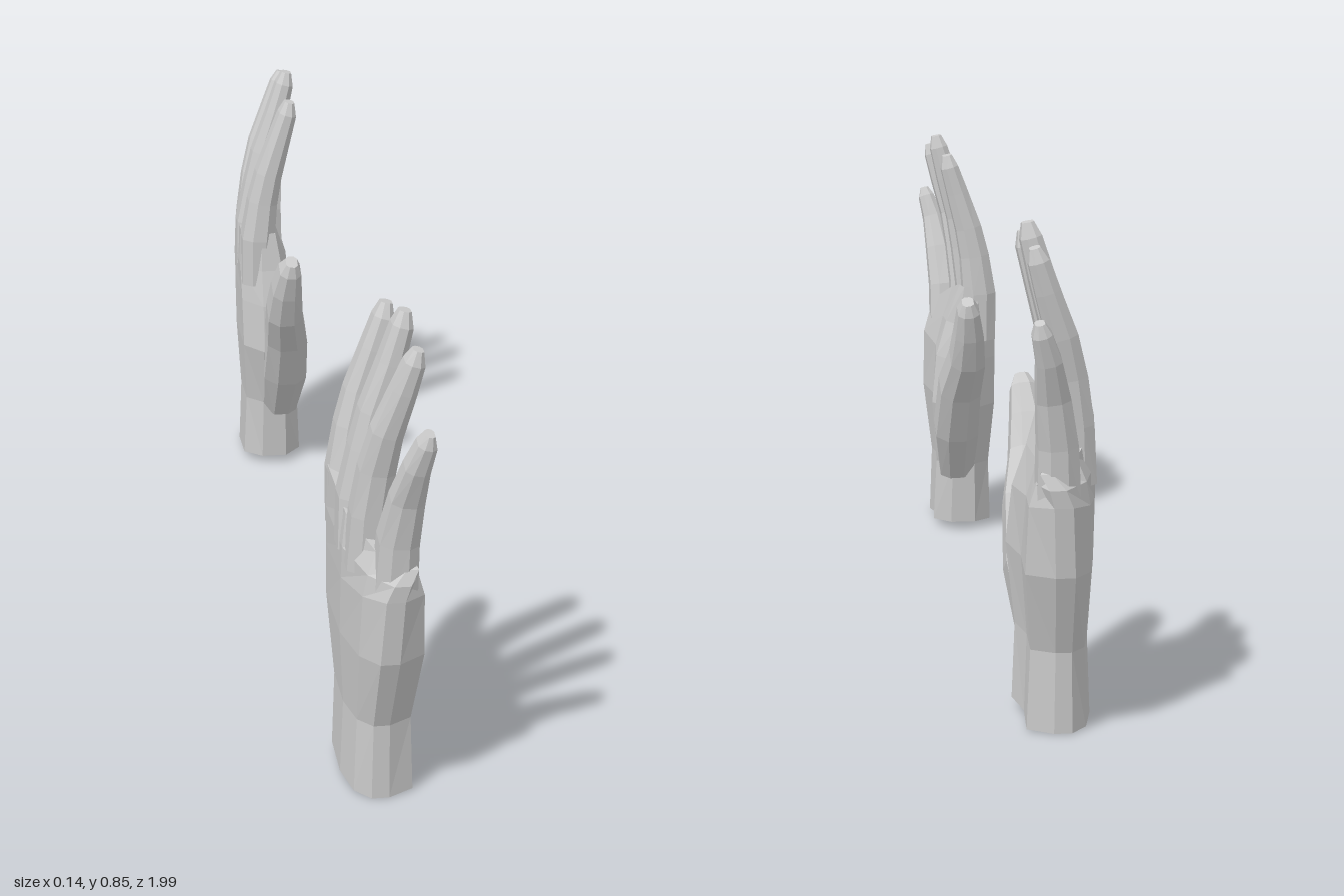
import * as THREE from 'three';

const material = new THREE.MeshStandardMaterial({ color: 0xcccccc, flatShading: true });
const V = (x, y, z) => new THREE.Vector3(x, y, z);

// Skin a list of equal-sized rings and cap both ends; side = -1 mirrors in z.
function loft(name, rings, side) {
  const n = rings[0].length;
  const pos = [];
  const tri = (a, b, c) => {
    for (const p of side > 0 ? [a, b, c] : [a, c, b]) pos.push(p.x, p.y, p.z * side);
  };
  const centre = (ring) => ring.reduce((s, p) => s.add(p), V(0, 0, 0)).divideScalar(n);
  const last = rings[rings.length - 1];
  const c0 = centre(rings[0]);
  const c1 = centre(last);
  for (let j = 0; j < n; j++) {
    const k = (j + 1) % n;
    for (let i = 0; i + 1 < rings.length; i++) {
      const a = rings[i], b = rings[i + 1];
      tri(a[j], a[k], b[k]);
      tri(a[j], b[k], b[j]);
    }
    tri(c0, rings[0][k], rings[0][j]);
    tri(c1, last[j], last[k]);
  }
  const geometry = new THREE.BufferGeometry();
  geometry.setAttribute('position', new THREE.Float32BufferAttribute(pos, 3));
  geometry.computeVertexNormals();
  const mesh = new THREE.Mesh(geometry, material);
  mesh.name = name;
  return mesh;
}

// Eight-sided digit section: across, depth
const DIGIT = [[-1, -0.4], [-0.6, -1], [0.6, -1], [1, -0.4], [1, 0.45], [0.6, 1], [-0.6, 1], [-1, 0.45]];

// Each path step: x, y, z, half width, half depth
function digit(name, path, side) {
  const rings = path.map(([x, y, z, w, d], i) => {
    const a = path[Math.max(i - 1, 0)];
    const b = path[Math.min(i + 1, path.length - 1)];
    const t = V(b[0] - a[0], b[1] - a[1], b[2] - a[2]).normalize();
    const u = V(1, 0, 0).cross(t).normalize();
    const v = t.clone().cross(u);
    return DIGIT.map(([p, q]) => V(x, y, z).addScaledVector(u, p * w).addScaledVector(v, q * d));
  });
  return loft(name, rings, side);
}

// Palm section: position from thumb side (0) to little finger side (1), back (-1) to palm (1)
const PALM = [[0, -0.4], [0.15, -1], [0.6, -1], [0.88, -0.75], [1, -0.3],
  [1, 0.2], [0.9, 0.9], [0.52, 0.8], [0.2, 1], [0, 0.45]];

// y at thumb side, y at outer side, z inner, z outer, x back, x palm, arch of the outer side
const LEVELS = [
  [0.015, 0, 0.65, 0.87, -0.06, 0.062, 0],
  [0.145, 0.14, 0.64, 0.875, -0.055, 0.056, 0],
  [0.28, 0.28, 0.585, 0.93, -0.064, 0.068, 0.005],
  [0.38, 0.4, 0.592, 0.947, -0.066, 0.058, 0.012],
  [0.455, 0.43, 0.607, 0.95, -0.068, 0.035, 0.025],
  [0.535, 0.455, 0.615, 0.94, -0.066, 0.005, 0.045],
];

function palm(side) {
  const rings = LEVELS.map(([yi, yo, zi, zo, xb, xp, arch]) => PALM.map(([a, b]) => V(
    (b < 0 ? -b * xb : b * xp) + arch * a ** 3,
    yi + (yo - yi) * a * a,
    zi + (zo - zi) * a)));
  return loft('palm', rings, side);
}

const DIGITS = {
  littleFinger: [
    [0.012, 0.4, 0.898, 0.038, 0.036], [0.015, 0.5, 0.912, 0.034, 0.033], [0.025, 0.58, 0.935, 0.026, 0.028],
    [0.036, 0.645, 0.962, 0.023, 0.021], [0.049, 0.69, 0.976, 0.02, 0.016], [0.053, 0.709, 0.981, 0.012, 0.008]],
  ringFinger: [
    [-0.025, 0.42, 0.83, 0.035, 0.035], [-0.022, 0.52, 0.84, 0.033, 0.032], [-0.012, 0.6, 0.852, 0.028, 0.03],
    [0.002, 0.67, 0.866, 0.026, 0.026], [0.027, 0.745, 0.877, 0.024, 0.021], [0.043, 0.795, 0.884, 0.021, 0.017],
    [0.049, 0.817, 0.886, 0.012, 0.009]],
  middleFinger: [
    [-0.032, 0.43, 0.765, 0.038, 0.034], [-0.03, 0.52, 0.765, 0.037, 0.034], [-0.016, 0.605, 0.768, 0.033, 0.03],
    [-0.003, 0.67, 0.77, 0.03, 0.027], [0.023, 0.755, 0.771, 0.028, 0.022], [0.041, 0.82, 0.772, 0.024, 0.018],
    [0.046, 0.845, 0.772, 0.014, 0.01]],
  indexFinger: [
    [-0.032, 0.42, 0.655, 0.038, 0.034], [-0.032, 0.52, 0.65, 0.039, 0.034], [-0.022, 0.6, 0.647, 0.034, 0.03],
    [-0.009, 0.66, 0.645, 0.031, 0.027], [0.014, 0.735, 0.644, 0.028, 0.022], [0.031, 0.79, 0.642, 0.025, 0.018],
    [0.036, 0.815, 0.641, 0.014, 0.01]],
  thumb: [
    [0.015, 0.13, 0.672, 0.035, 0.035], [0.02, 0.23, 0.622, 0.05, 0.045], [0.018, 0.33, 0.565, 0.05, 0.042],
    [0.008, 0.4, 0.508, 0.042, 0.036], [0.008, 0.46, 0.475, 0.037, 0.03], [0.012, 0.51, 0.448, 0.028, 0.022],
    [0.014, 0.53, 0.437, 0.016, 0.012]],
};

function hand(name, side) {
  const group = new THREE.Group();
  group.name = name;
  group.add(palm(side));
  for (const [part, path] of Object.entries(DIGITS)) group.add(digit(part, path, side));
  return group;
}

export function createModel() {
  const model = new THREE.Group();
  model.name = 'pairOfHands';
  model.add(hand('frontHand', 1), hand('backHand', -1));
  return model;
}
